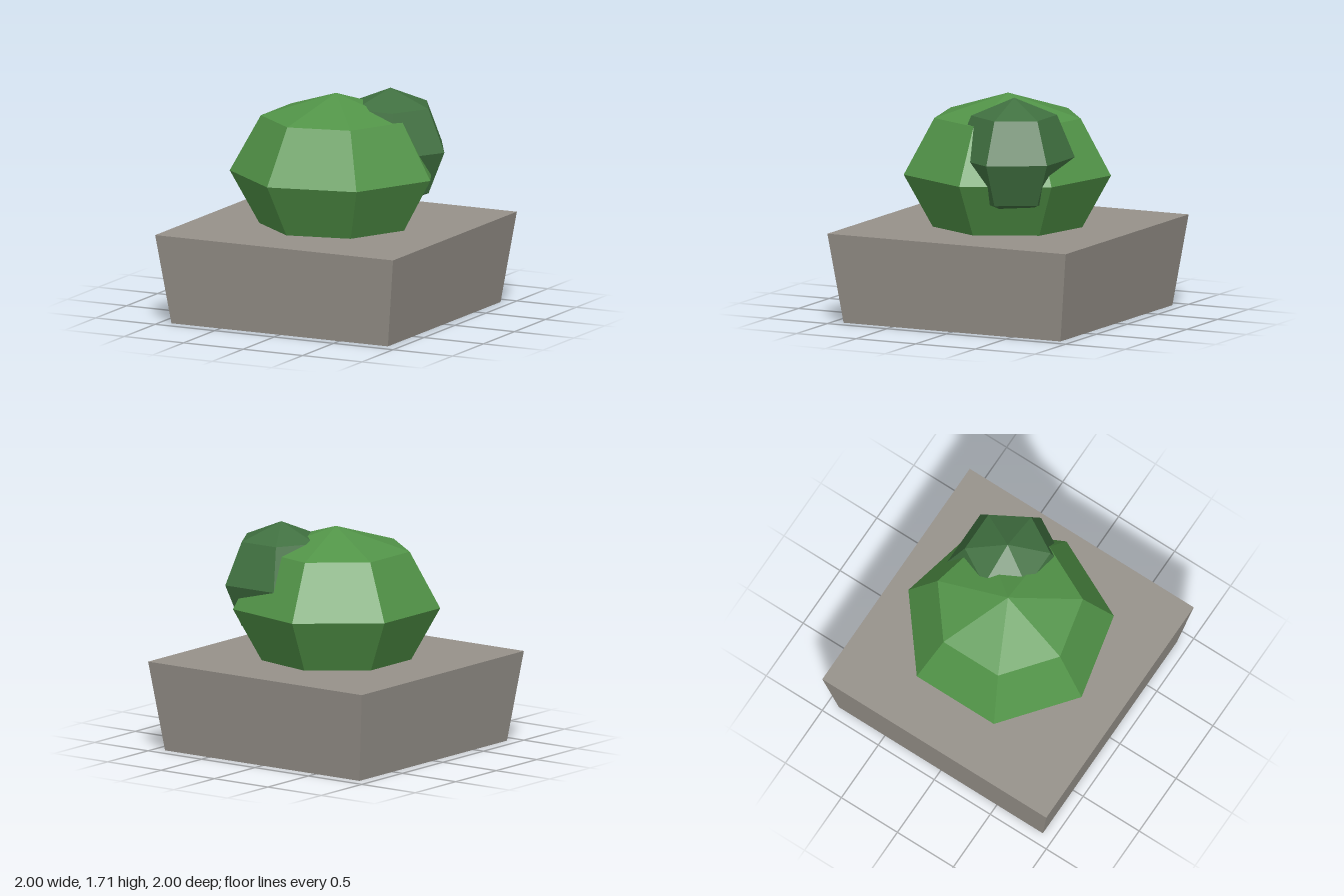
import * as THREE from 'three';

const material = (name, color) => {
  const m = new THREE.MeshStandardMaterial({ color, flatShading: true });
  m.name = name;
  return m;
};

export function createModel() {
  const stone = material('stone grey', 0x96918a);
  const leaf = material('leaf green', 0x529448);
  const darkLeaf = material('dark leaf green', 0x407040);
  const group = new THREE.Group();
  group.name = 'planter with bush';

  // square stone planter, narrower at the foot
  const height = 0.68;
  const block = new THREE.BoxGeometry(2, height, 2);
  const pos = block.attributes.position;
  for (let i = 0; i < pos.count; i++) {
    if (pos.getY(i) < 0) {
      pos.setX(i, pos.getX(i) * 0.91);
      pos.setZ(i, pos.getZ(i) * 0.91);
    }
  }
  block.computeVertexNormals();
  const planter = new THREE.Mesh(block, stone);
  planter.name = 'planter';
  planter.position.y = height / 2;
  group.add(planter);

  // low-poly foliage clumps, each with one corner pointing to +x
  const addClump = (name, mat, sides, radius, squash, x, y, z) => {
    const geometry = new THREE.SphereGeometry(radius, sides, 4);
    geometry.rotateY(Math.PI).scale(1, squash, 1);
    geometry.computeVertexNormals();
    const mesh = new THREE.Mesh(geometry, mat);
    mesh.name = name;
    mesh.position.set(x, y, z);
    group.add(mesh);
  };
  addClump('mainFoliage', leaf, 7, 0.793, 0.75, 0, 1.08, 0);
  addClump('sideFoliage', darkLeaf, 6, 0.453, 1, 0.34, 1.252, -0.227);

  return group;
}
